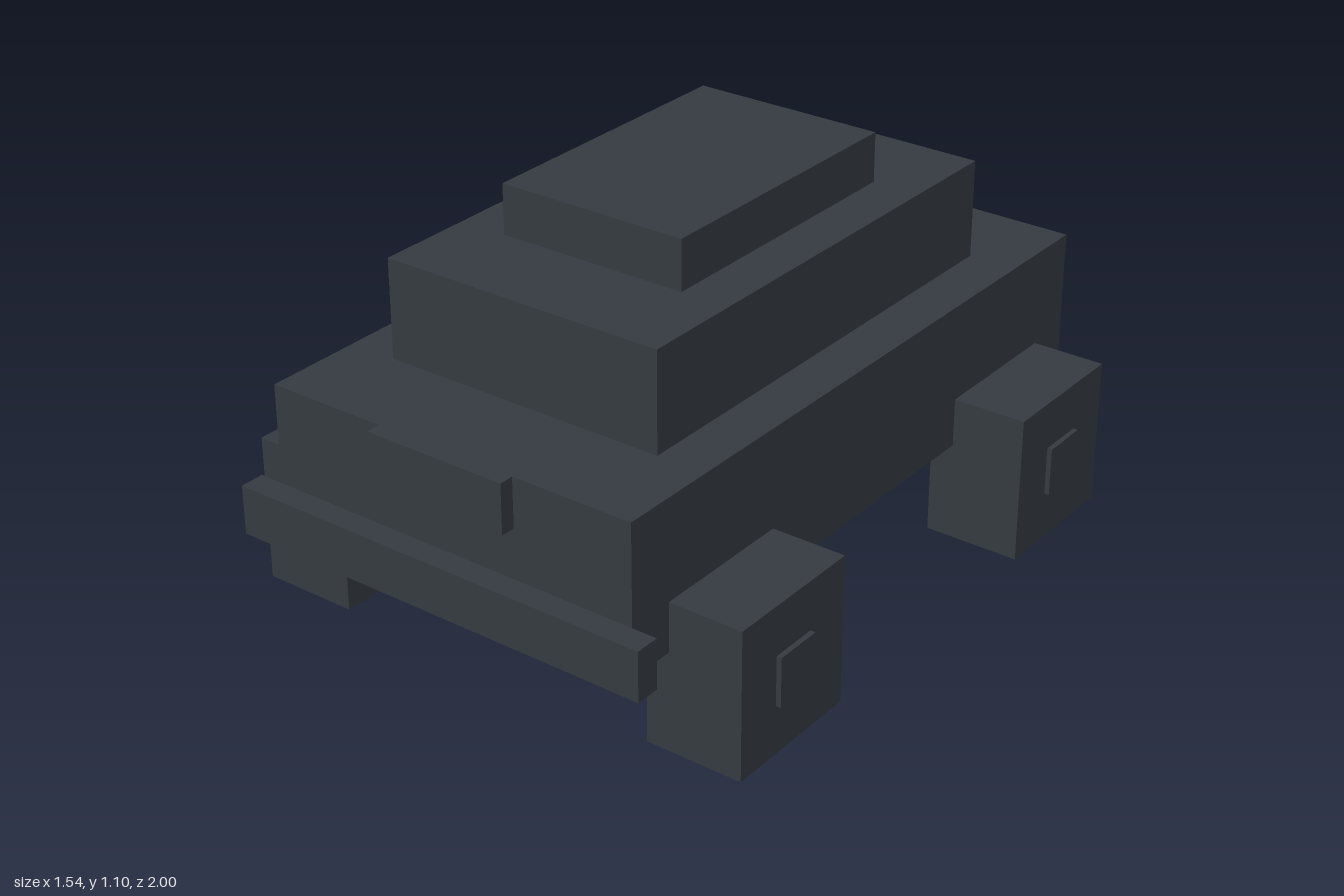
import * as THREE from 'three';

export function createModel() {
  const model = new THREE.Group();
  model.name = 'blockCar';
  const charcoal = new THREE.MeshStandardMaterial({ color: 0x343a40 });
  charcoal.name = 'charcoal';

  // Box from its min and max extents on each axis
  const block = (name, [x0, x1], [y0, y1], [z0, z1], parent = model) => {
    const mesh = new THREE.Mesh(new THREE.BoxGeometry(x1 - x0, y1 - y0, z1 - z0), charcoal);
    mesh.position.set((x0 + x1) / 2, (y0 + y1) / 2, (z0 + z1) / 2);
    mesh.name = name;
    parent.add(mesh);
  };

  // Stepped body
  block('body', [-0.55, 0.55], [0.277, 0.69], [-1, 0.931]);
  block('cabin', [-0.412, 0.412], [0.69, 0.965], [-0.725, 0.655]);
  block('roof', [-0.275, 0.275], [0.965, 1.103], [-0.447, 0.38]);

  // Front details
  block('frontBumper', [-0.62, 0.62], [0.277, 0.414], [0.931, 1]);
  block('grille', [-0.206, 0.206], [0.553, 0.69], [0.931, 0.972]);

  // Square wheels, each with a hub passing through
  for (const [end, z] of [['front', 0.587], ['rear', -0.656]]) {
    for (const [side, s] of [['Left', 1], ['Right', -1]]) {
      const wheel = new THREE.Group();
      wheel.name = `${end}${side}Wheel`;
      wheel.position.set(s * 0.621, 0.207, z);
      block('tire', [-0.137, 0.137], [-0.207, 0.207], [-0.207, 0.207], wheel);
      block('hub', [-0.151, 0.151], [-0.069, 0.069], [-0.069, 0.069], wheel);
      model.add(wheel);
    }
  }
  return model;
}
